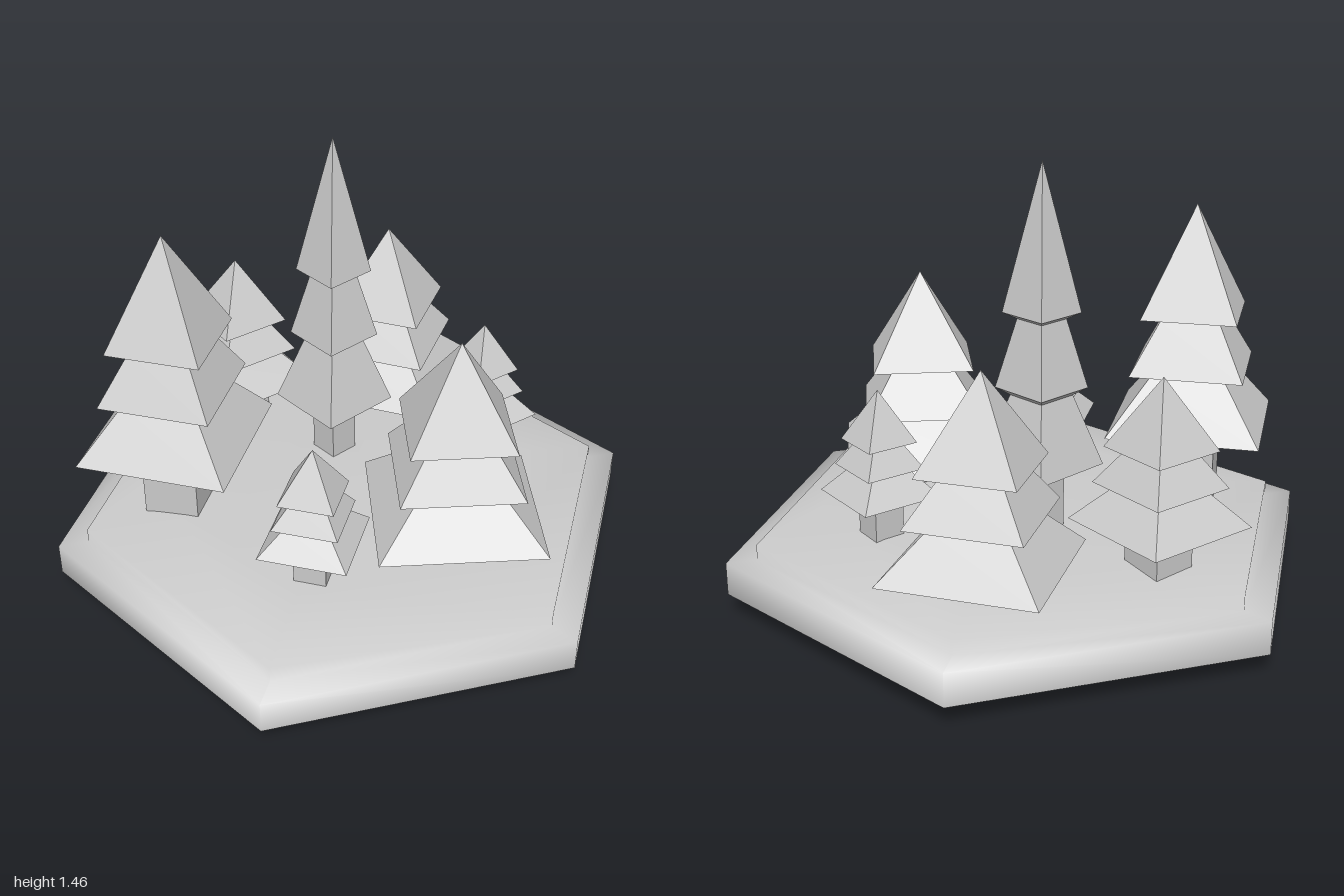
import * as THREE from 'three';

const smooth = new THREE.MeshStandardMaterial({ color: 0xcccccc, side: THREE.DoubleSide });
const faceted = new THREE.MeshStandardMaterial({ color: 0xcccccc, flatShading: true });

const lathe = (points, sides) =>
  new THREE.LatheGeometry(points.map(([r, y]) => new THREE.Vector2(r, y)), sides);

// Hollow hexagonal plate: rim, step and low mound
function createGround() {
  const ground = new THREE.Mesh(
    lathe([[1, 0.07], [1, 0.18], [0.9, 0.18], [0.9, 0.23], [0.6, 0.265], [0, 0.272]], 6), smooth);
  ground.name = 'ground';
  return ground;
}

// Three-tier foliage as [radius factor, drop below the tip], bottom to top
const FOLIAGE = [
  [0, 0.99], [0.37, 0.99], [1, 0.978], [0.5, 0.745], [0.74, 0.72],
  [0.39, 0.495], [0.625, 0.475], [0, 0],
];
const TRUNK_TOP = 0.98, TRUNK_BOTTOM = 1.46;

// Square fir tree; r is the half diagonal of its lowest tier, s its vertical scale
function createTree({ name, x, z, tip, r, s, turn }) {
  const tree = new THREE.Group();
  tree.name = name;
  tree.position.set(x, tip, z);
  tree.rotation.y = turn;

  const foliage = new THREE.Mesh(lathe(FOLIAGE.map(([f, d]) => [f * r, -d * s]), 4), faceted);
  foliage.name = 'foliage';

  const height = (TRUNK_BOTTOM - TRUNK_TOP) * s;
  const trunk = new THREE.Mesh(new THREE.CylinderGeometry(0.37 * r, 0.37 * r, height, 4), faceted);
  trunk.name = 'trunk';
  trunk.position.y = -TRUNK_TOP * s - height / 2;

  tree.add(foliage, trunk);
  return tree;
}

const TREES = [
  { name: 'backTree', x: -0.01, z: -0.597, tip: 0.93, r: 0.355, s: 0.62, turn: 0.71 },
  { name: 'backRightTree', x: -0.503, z: -0.35, tip: 0.865, r: 0.28, s: 0.48, turn: 0.1 },
  { name: 'backLeftTree', x: 0.392, z: -0.337, tip: 0.75, r: 0.196, s: 0.355, turn: 0.08 },
  { name: 'tallCentreTree', x: -0.095, z: -0.17, tip: 1.46, r: 0.198, s: 1, turn: 0.21 },
  { name: 'rightTree', x: -0.522, z: 0.237, tip: 1.265, r: 0.354, s: 0.76, turn: Math.PI / 4 },
  { name: 'smallFrontTree', x: 0.022, z: 0.495, tip: 0.75, r: 0.203, s: 0.35, turn: Math.PI / 4 },
  { name: 'leftTree', x: 0.405, z: 0.183, tip: 1.0, r: 0.379, s: 0.653, turn: 1.117 },
];

export function createModel() {
  const model = new THREE.Group();
  model.name = 'forestTile';
  model.add(createGround(), ...TREES.map(createTree));
  return model;
}
